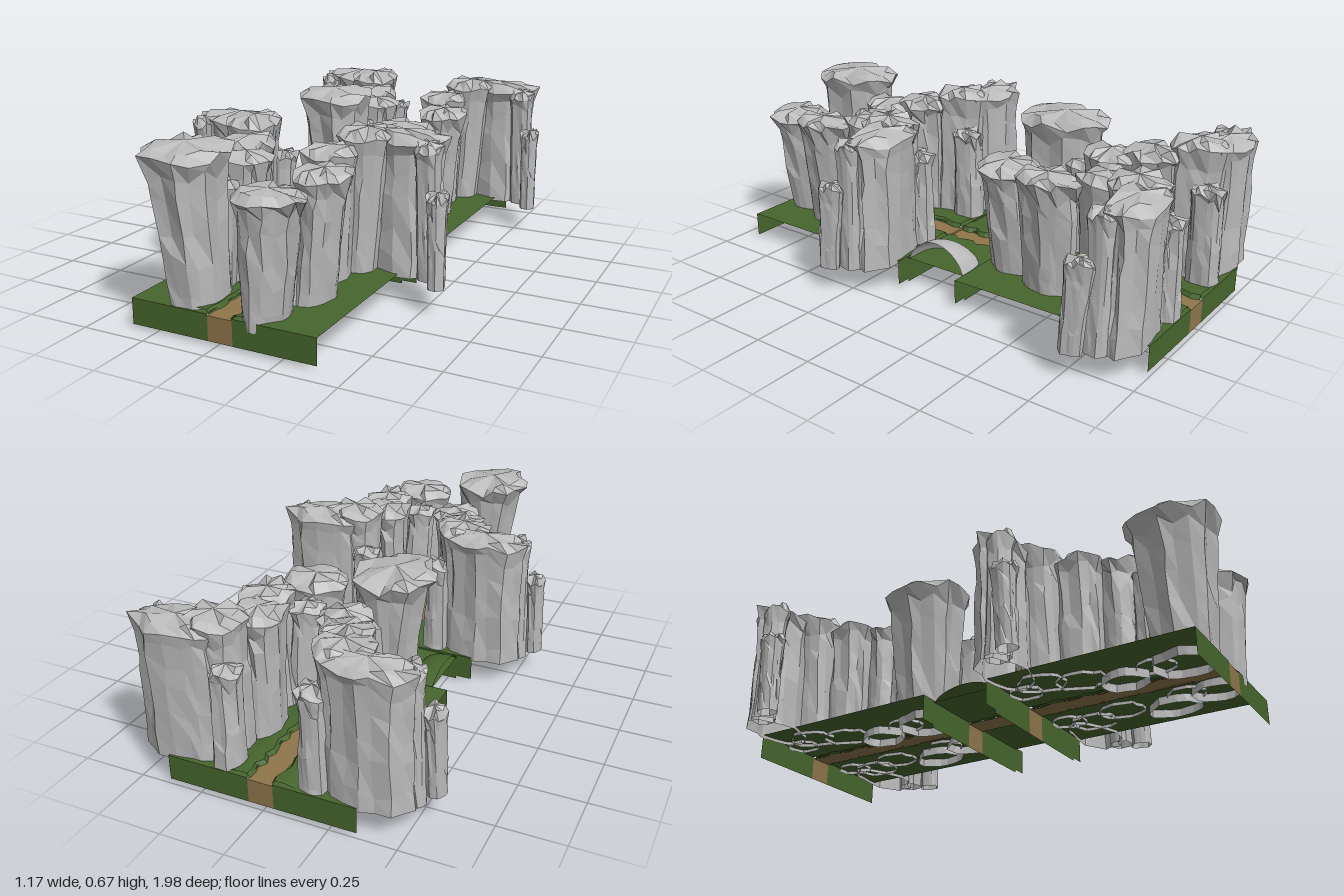
import * as THREE from 'three';

const material = (name, color) =>
  new THREE.MeshStandardMaterial({ name, color, side: THREE.DoubleSide });

// Surface from a rule f(i, j) => [x, y, z]; faceted or smooth
function surface(nu, nv, f, faceted = true) {
  const pos = [], index = [];
  for (let i = 0; i <= nu; i++) for (let j = 0; j <= nv; j++) pos.push(...f(i, j));
  for (let i = 0; i < nu; i++) for (let j = 0; j < nv; j++) {
    const a = i * (nv + 1) + j, b = a + nv + 1;
    index.push(a, a + 1, b + 1, a, b + 1, b);
  }
  let g = new THREE.BufferGeometry();
  g.setAttribute('position', new THREE.Float32BufferAttribute(pos, 3));
  g.setIndex(index);
  if (faceted) g = g.toNonIndexed();
  g.computeVertexNormals();
  return g;
}

function seeded(seed) {
  let s = seed * 7919 + 17;
  return () => (s = (s * 16807) % 2147483647) / 2147483647;
}

// Craggy column: base ellipse lofted to a wider, domed top
function rockGeometry(seed, [bx, bz, brx, brz], [tx, tz, trx, trz], y0, y1) {
  const rnd = seeded(seed);
  for (let k = 0; k < 5; k++) rnd();
  const n = 16;
  const levels = [0, 0.16, 0.34, 0.52, 0.7, 0.84, 0.94, 1, 1];
  const cap = [1, 0.97, 0.95, 0.94, 0.93, 0.95, 1.04, 0.72, 0];
  const columns = [];
  for (let i = 0; i < n; i++) {
    columns.push({
      r: 0.86 + rnd() * 0.2,
      turn: (rnd() - 0.5) * 0.2,
      ledge: 1 + Math.floor(rnd() * 5),
      inset: 0.84 + rnd() * 0.18,
      jitter: levels.map(() => rnd() - 0.5),
    });
  }
  return surface(n, levels.length - 1, (i, j) => {
    const c = columns[i % n], t = levels[j], e = c.jitter[j];
    const a = (i % n) / n * Math.PI * 2 + c.turn + e * 0.12;
    const r = cap[j] * (c.r + e * 0.09) * (j > c.ledge && j < 6 ? c.inset : 1);
    const mix = (p, q) => p + (q - p) * t;
    const rise = j === 0 || j === 8 ? 0 : e * (j < 6 ? 0.07 : 0.035);
    return [
      mix(bx, tx) + Math.cos(a) * r * mix(brx, trx),
      y0 + (y1 - y0) * t + rise - (j === 7 ? 0.012 : 0),
      mix(bz, tz) + Math.sin(a) * r * mix(brz, trz),
    ];
  });
}

export function createModel() {
  const model = new THREE.Group();
  model.name = 'rockyPath';
  const rock = material('rock', 0xbababa);
  const grass = material('grass', 0x47662e);
  const dirt = material('dirt', 0x8f764b);
  const PATH_L = -0.035, PATH_R = 0.063;

  function add(parent, name, geometry, mat) {
    const m = new THREE.Mesh(geometry, mat);
    m.name = name;
    parent.add(m);
  }

  // Ground sheet with hanging front and back skirts, in grass / dirt / grass strips
  function ground(name, x0, x1, z0, z1, yBottom, yTop) {
    const g = new THREE.Group();
    g.name = name;
    const strips = [
      ['grassRight', x0, PATH_L, grass, 0],
      ['path', PATH_L, PATH_R, dirt, 0.006],
      ['grassLeft', PATH_R, x1, grass, 0],
    ];
    for (const [part, a, b, mat, drop] of strips) {
      const y = yTop - drop;
      const section = [[z0, yBottom], [z0, y], [z1, y], [z1, yBottom]];
      add(g, part, surface(1, 3, (i, j) => [i ? b : a, section[j][1], section[j][0]]), mat);
    }
    model.add(g);
  }

  ground('frontGround', -0.35, 0.385, 0.11, 0.92, 0.012, 0.111);
  ground('rearGround', -0.35, 0.385, -0.99, -0.17, 0.012, 0.111);
  ground('middleGround', -0.285, 0.325, -0.17, 0.11, 0, 0.104);

  // Rocks paired across the path: name, base [x, z, rx, rz], top [x, z, rx, rz], top y
  const pairs = [
    ['cliff', [0.36, 0.2, 0.16, 0.09], [0.355, 0.19, 0.168, 0.095], 0.643],
    ['wing', [0.495, 0.25, 0.045, 0.05], [0.48, 0.25, 0.05, 0.06], 0.62],
    ['spur', [0.55, 0.32, 0.034, 0.045], [0.54, 0.3, 0.042, 0.06], 0.45],
    ['shoulder', [0.22, 0.27, 0.08, 0.1], [0.245, 0.255, 0.11, 0.12], 0.653],
    ['backLedge', [0.17, 0.18, 0.06, 0.07], [0.165, 0.18, 0.06, 0.07], 0.5],
    ['wall', [0.165, 0.41, 0.075, 0.1], [0.17, 0.41, 0.1, 0.12], 0.61],
    ['join', [0.145, 0.69, 0.065, 0.08], [0.125, 0.69, 0.07, 0.085], 0.515],
  ];
  // Single pillars, leaning outward and sunk slightly into the ground
  const pillars = [
    ['middlePillarLeft', [0.21, 0.62, 0.075, 0.11], [0.25, 0.61, 0.1, 0.135], 0.585],
    ['middlePillarRight', [-0.11, 0.56, 0.07, 0.09], [-0.1, 0.55, 0.1, 0.1], 0.59],
    ['frontPillarLeft', [0.14, 0.82, 0.08, 0.11], [0.165, 0.84, 0.14, 0.13], 0.56],
    ['frontPillarRight', [-0.14, 0.8, 0.1, 0.13], [-0.185, 0.8, 0.155, 0.195], 0.67],
  ];
  const mirrored = ([x, ...rest], side) => [x * side, ...rest];

  for (const [section, dz] of [['frontRocks', 0], ['rearRocks', -1.1]]) {
    const g = new THREE.Group();
    g.name = section;
    g.position.z = dz;
    pillars.forEach(([name, base, top, height], k) =>
      add(g, name, rockGeometry(k + 17, base, top, 0.077, height), rock));

    for (const side of [-1, 1]) {
      const label = side < 0 ? 'Right' : 'Left';
      pairs.forEach(([name, base, top, height], k) => add(g, name + label,
        rockGeometry(2 * k + 4 + side, mirrored(base, side), mirrored(top, side), 0.098, height), rock));
      bank(g, 'bank' + label, side, 24, 0.12, 0.91, 0.111);
    }
    model.add(g);
  }

  // Ragged grass bank along one side of the path
  function bank(parent, name, side, n, z0, z1, yGround) {
    const rnd = seeded(side + n);
    const edge = Array.from({ length: n + 1 }, () => rnd() * 0.025);
    const profile = [[0.03, yGround - 0.007], [0.042, yGround + 0.01], [0.09, yGround + 0.011], [0.15, yGround]];
    add(parent, name, surface(n, 3, (i, j) => [
      0.014 + side * (profile[j][0] + (j < 2 ? edge[i] : 0)),
      profile[j][1],
      z0 + i / n * (z1 - z0),
    ]), grass);
  }
  bank(model, 'middleBankRight', -1, 9, -0.165, 0.105, 0.105);
  bank(model, 'middleBankLeft', 1, 9, -0.165, 0.105, 0.105);

  // Rounded mounds on both sides of the middle ground, cut open at the outer edge
  const mound = (side, xIn, xOut, height) => surface(14, 22, (i, j) => {
    const u = i / 14, v = side * (1 - j / 11);
    const zHalf = 0.132 * Math.pow(1 - Math.pow(1 - u, 4), 0.25);
    const rise = Math.sqrt(1 - (1 - u) ** 2) * Math.pow(Math.max(0, 1 - v * v), 0.7);
    return [side * (xIn + (xOut - xIn) * u), 0.104 + height * rise, -0.03 - v * zHalf];
  }, false);
  // Rows run from +z to -z or back by side, so that both mounds face up
  add(model, 'boulder', mound(-1, -0.165, -0.325, 0.1), rock);
  add(model, 'grassMound', mound(1, -0.17, -0.285, 0.045), grass);
  return model;
}
